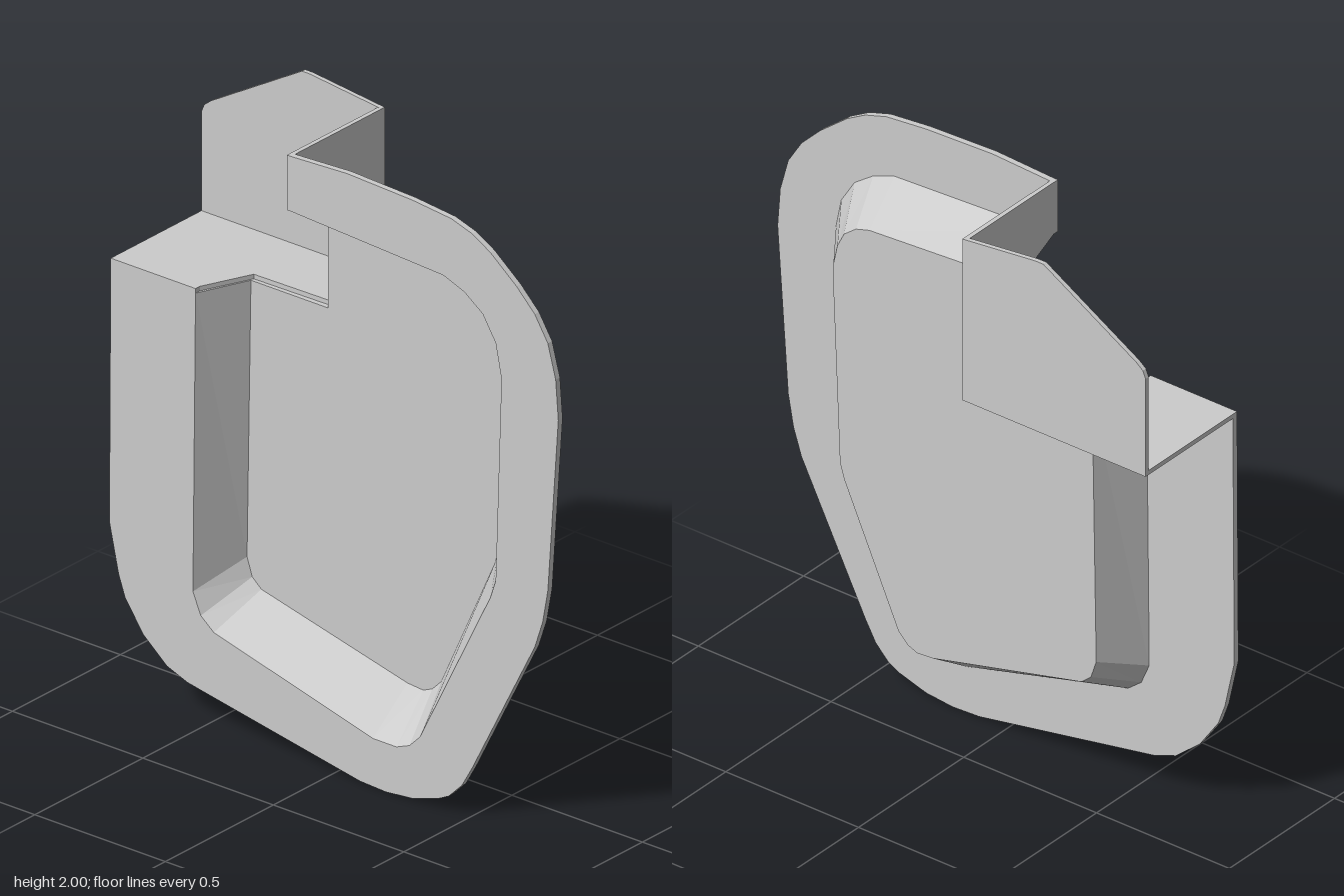
import * as THREE from 'three';

const material = new THREE.MeshStandardMaterial({ color: 0xcccccc, side: THREE.DoubleSide });

// Outlines are [z, y] pairs, counterclockwise as seen from +x.
const PLATE = [
  [-0.165, 1.97], [0.05, 1.98], [0.3, 1.97], [0.45, 1.955], [0.53, 1.93], [0.6, 1.89],
  [0.7, 1.81], [0.77, 1.74], [0.82, 1.66], [0.85, 1.55], [0.86, 1.42], [0.82, 0.85],
  [0.8, 0.74], [0.77, 0.65], [0.53, 0.18], [0.49, 0.11], [0.44, 0.06], [0.4, 0.04],
  [0.3, 0.01], [0.2, 0], [0.1, 0.005], [-0.56, 0.125], [-0.64, 0.155], [-0.73, 0.23],
  [-0.8, 0.33], [-0.825, 0.4], [-0.86, 0.56], [-0.855, 1.41],
];
const RIM = [
  [-0.165, 1.79], [0.42, 1.76], [0.5, 1.73], [0.57, 1.68], [0.62, 1.6], [0.64, 1.5],
  [0.64, 1.42], [0.62, 0.82], [0.6, 0.76], [0.33, 0.22], [0.29, 0.18], [0.24, 0.16],
  [0.15, 0.16], [-0.46, 0.32], [-0.51, 0.36], [-0.54, 0.43], [-0.53, 1.41],
];
const FACE = [
  [-0.165, 1.705], [0.38, 1.67], [0.43, 1.655], [0.475, 1.62], [0.5, 1.57], [0.515, 1.5],
  [0.515, 1.42], [0.49, 0.82], [0.475, 0.77], [0.27, 0.32], [0.235, 0.285], [0.2, 0.27],
  [0.14, 0.275], [-0.42, 0.41], [-0.455, 0.44], [-0.475, 0.5], [-0.46, 1.41],
];
const PANEL = [
  [-0.165, 1.41], [-0.855, 1.41], [-0.855, 1.75], [-0.845, 1.775], [-0.82, 1.795],
  [-0.47, 2], [-0.44, 2], [-0.165, 1.97],
];

function extrude(points, depth) {
  const shape = new THREE.Shape(points.map(([u, v]) => new THREE.Vector2(u, v)));
  return new THREE.ExtrudeGeometry(shape, { depth, bevelEnabled: false });
}

// Sheet lying in the z-y plane, from x0 to x1
function sideSheet(points, x0, x1) {
  return extrude(points.map(([z, y]) => [-z, y]), x1 - x0).rotateY(Math.PI / 2).translate(x0, 0, 0);
}

// Sloping wall of the dish: a four-cornered section swept along the open ring
function slopedWall() {
  const sections = RIM.map(([z, y], i) => {
    const [fz, fy] = FACE[i];
    return [[-0.2, y, z], [-0.03, fy, fz], [-0.048, fy, fz], [-0.22, y, z]];
  });
  const pos = [];
  const quad = (a, b, c, d) => pos.push(...a, ...b, ...c, ...a, ...c, ...d);
  for (let i = 0; i < sections.length - 1; i++) {
    const s = sections[i], t = sections[i + 1];
    for (let k = 0; k < 4; k++) {
      const n = (k + 1) % 4;
      quad(s[k], t[k], t[n], s[n]);
    }
  }
  quad(...sections[0]);
  quad(...[...sections[sections.length - 1]].reverse());
  const g = new THREE.BufferGeometry();
  g.setAttribute('position', new THREE.Float32BufferAttribute(pos, 3));
  g.computeVertexNormals();
  return g;
}

export function createModel() {
  const model = new THREE.Group();
  model.name = 'recessedCover';
  const add = (name, geometry) => {
    const mesh = new THREE.Mesh(geometry, material);
    mesh.name = name;
    model.add(mesh);
  };

  // Flat flange around the dish, open at the pocket corner
  add('flange', sideSheet([...PLATE, ...[...RIM].reverse()], -0.22, -0.2));

  // Raised dish, hollow from behind
  add('dishWall', slopedWall());
  add('dishFace', sideSheet([...FACE, [-0.165, 1.41]], -0.048, -0.03));

  // Corner pocket: outer panel, front wall and floor, cut out around the dish
  add('pocketPanel', sideSheet(PANEL, 0.2, 0.215));
  add('pocketFrontWall', extrude([
    [-0.03, 1.41], [0.2, 1.41], [0.2, 1.97], [-0.22, 1.97], [-0.22, 1.79], [-0.2, 1.79], [-0.03, 1.705],
  ], 0.015).translate(0, 0, -0.18));
  const floor = [
    [-0.22, -0.855], [0.2, -0.855], [0.2, -0.18], [-0.03, -0.18], [-0.035, -0.46], [-0.2, -0.53], [-0.22, -0.53],
  ];
  add('pocketFloor', extrude(floor.map(([x, z]) => [x, -z]), 0.015).rotateX(-Math.PI / 2).translate(0, 1.41, 0));

  return model;
}
